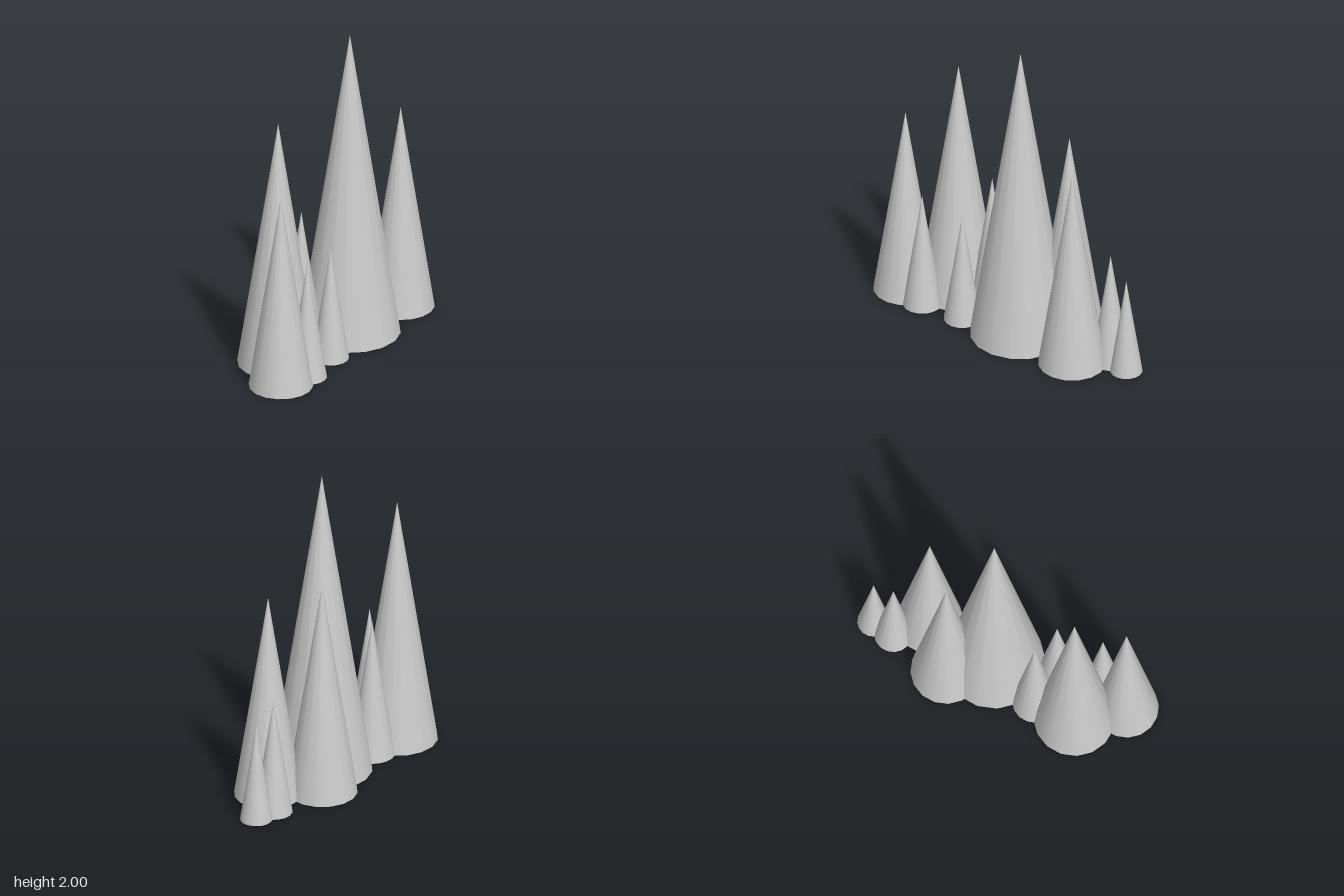
import * as THREE from 'three';

// Each spire: [x, z, height]
const SPIRES = [
  [0.09, 0.04, 2.0],
  [-0.515, -0.03, 1.61],
  [-0.755, 0.185, 1.265],
  [0.31, -0.16, 1.405],
  [0.555, 0.06, 1.34],
  [-0.255, -0.06, 0.905],
  [-0.27, 0.18, 0.735],
  [-0.56, 0.235, 0.77],
  [0.705, -0.12, 0.755],
  [0.85, -0.11, 0.64],
];
const SLOPE = 0.155; // base radius per unit of height
const SIDES = 16;

export function createModel() {
  const group = new THREE.Group();
  group.name = 'spireCluster';
  const material = new THREE.MeshStandardMaterial({ color: 0xcccccc });

  // All spires share one unit cone standing on y = 0, with a flat side to the front
  const cone = new THREE.ConeGeometry(SLOPE, 1, SIDES);
  cone.rotateY(Math.PI / SIDES).translate(0, 0.5, 0);

  SPIRES.forEach(([x, z, height], i) => {
    const spire = new THREE.Mesh(cone, material);
    spire.name = `spire${i + 1}`;
    spire.position.set(x, 0, z);
    spire.scale.setScalar(height);
    group.add(spire);
  });
  return group;
}
